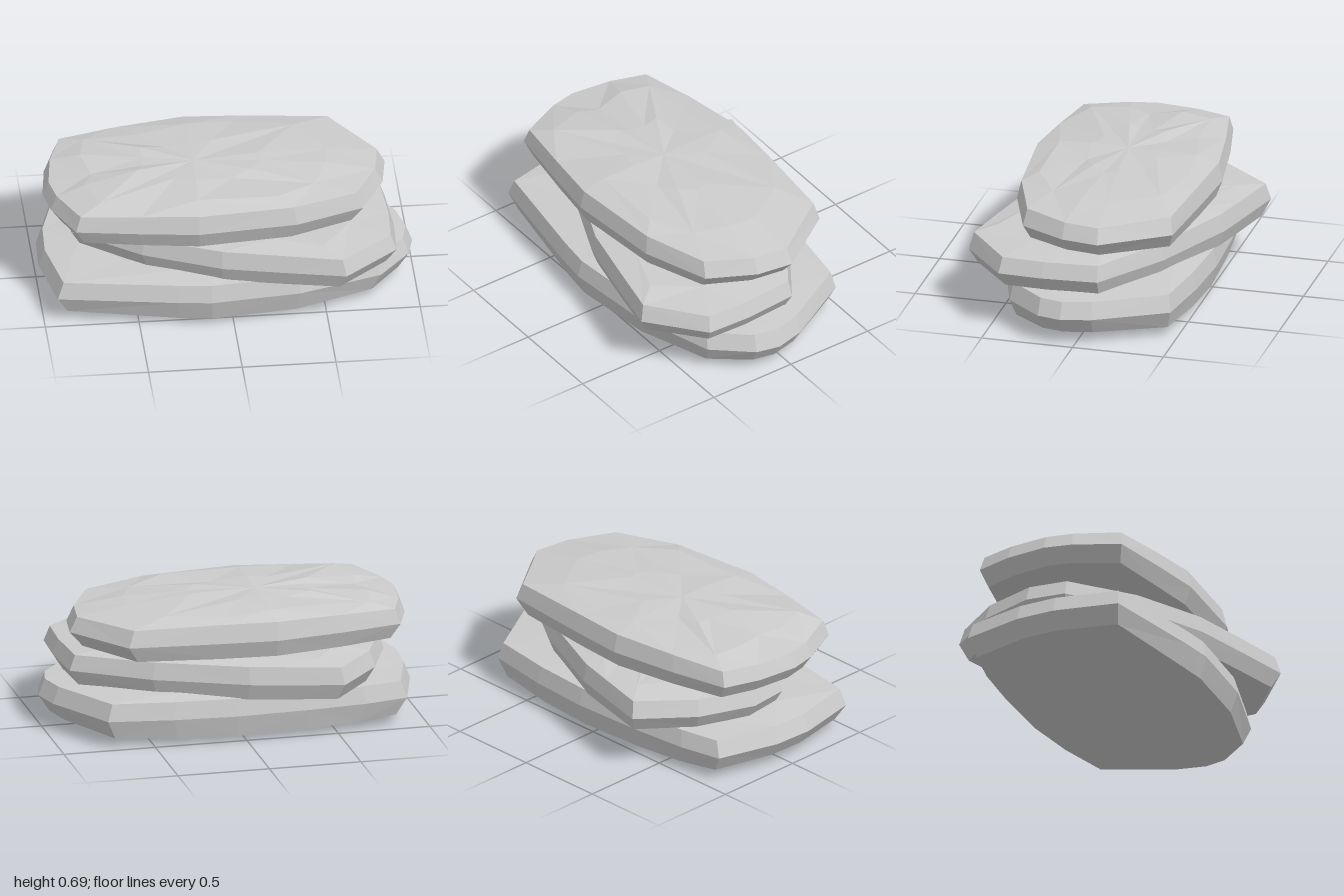
import * as THREE from 'three';

// Stone outlines as [x, z] corners, counter-clockwise seen from above
const STONES = [
  {
    name: 'bottomStone',
    outline: [[1, 0.07], [0.96, -0.09], [0.75, -0.47], [0.4, -0.52], [0.06, -0.54], [-0.35, -0.52], [-0.66, -0.49],
      [-0.89, -0.44], [-0.99, -0.1], [-1, 0.12], [-0.93, 0.47], [-0.3, 0.57], [-0.12, 0.59], [0.36, 0.54], [0.8, 0.4], [0.97, 0.2]],
    rings: [[0.94, 0.03], [1, 0.15], [0.965, 0.245]], low: 0, high: 0.265, bow: 0.03, topBow: 0.005, bump: 0.006,
  },
  {
    name: 'middleStone',
    outline: [[0.89, 0.2], [0.87, -0.1], [0.48, -0.36], [0, -0.57], [-0.2, -0.62], [-0.49, -0.69], [-0.72, -0.42],
      [-0.84, -0.12], [-0.82, 0.1], [-0.47, 0.36], [-0.06, 0.54], [0.3, 0.62], [0.59, 0.68], [0.88, 0.44]],
    rings: [[0.94, 0.24], [1, 0.33], [0.965, 0.425]], low: 0.225, high: 0.455, bow: 0.01, topBow: 0.015, bump: 0.006,
  },
  {
    name: 'topStone',
    outline: [[0.87, -0.1], [0.63, -0.45], [0.15, -0.49], [-0.17, -0.51], [-0.55, -0.45], [-0.87, -0.38], [-0.94, -0.18],
      [-0.97, 0.05], [-0.94, 0.2], [-0.83, 0.44], [-0.5, 0.49], [-0.18, 0.53], [0.35, 0.48], [0.71, 0.35], [0.84, 0.1]],
    rings: [[0.93, 0.45], [1, 0.545], [0.96, 0.645]], low: 0.435, high: 0.682, bow: 0.015, topBow: 0.025, bump: 0.009,
  },
];

// Faceted stone: rings of the outline stacked upwards, closed by shallow domes
function stoneGeometry({ outline, rings, low, high, bow, topBow, bump }) {
  const n = outline.length;
  const cx = outline.reduce((s, p) => s + p[0], 0) / n;
  const cz = outline.reduce((s, p) => s + p[1], 0) / n;
  const [under, waist, upper] = rings;
  const mix = THREE.MathUtils.lerp;
  // [scale, height, bow along x, bump]
  const levels = [
    [0.5, mix(low, under[1], 0.2), 0, 0],
    [under[0], under[1], bow, 0],
    [waist[0], waist[1], 0, 0],
    [upper[0], upper[1], -topBow, 0],
    [0.74, mix(upper[1], high, 0.65), -topBow * 0.5, bump],
    [0.36, mix(upper[1], high, 0.95), 0, bump],
  ];
  const positions = [cx, low, cz];
  levels.forEach(([scale, y, bend, rough], k) => {
    outline.forEach(([x, z], i) => {
      // uneven ripple breaks up the broad upper face
      const ripple = rough * Math.sin(i * 2.3 + k * 1.7);
      const s = scale * (1 + (rough ? 0.08 * Math.sin(i * 1.9 + k) : 0));
      positions.push(cx + (x - cx) * s, y + bend * x * x + ripple, cz + (z - cz) * s);
    });
  });
  positions.push(cx, high, cz);

  const last = 1 + levels.length * n;
  const index = [];
  for (let i = 0; i < n; i++) {
    const j = (i + 1) % n;
    index.push(0, 1 + j, 1 + i);
    for (let k = 0; k < levels.length - 1; k++) {
      const a = 1 + k * n + i, b = 1 + k * n + j, c = b + n, d = a + n;
      // alternate diagonals give chipped triangular facets
      if ((i + k) % 2) index.push(a, b, c, a, c, d);
      else index.push(a, b, d, b, c, d);
    }
    index.push(last - n + i, last - n + j, last);
  }
  const geometry = new THREE.BufferGeometry();
  geometry.setAttribute('position', new THREE.Float32BufferAttribute(positions, 3));
  geometry.setIndex(index);
  const flat = geometry.toNonIndexed();
  flat.computeVertexNormals();
  return flat;
}

export function createModel() {
  const group = new THREE.Group();
  group.name = 'stackedStones';
  const material = new THREE.MeshStandardMaterial({ color: 0xcccccc, flatShading: true });
  for (const stone of STONES) {
    const mesh = new THREE.Mesh(stoneGeometry(stone), material);
    mesh.name = stone.name;
    group.add(mesh);
  }
  return group;
}
